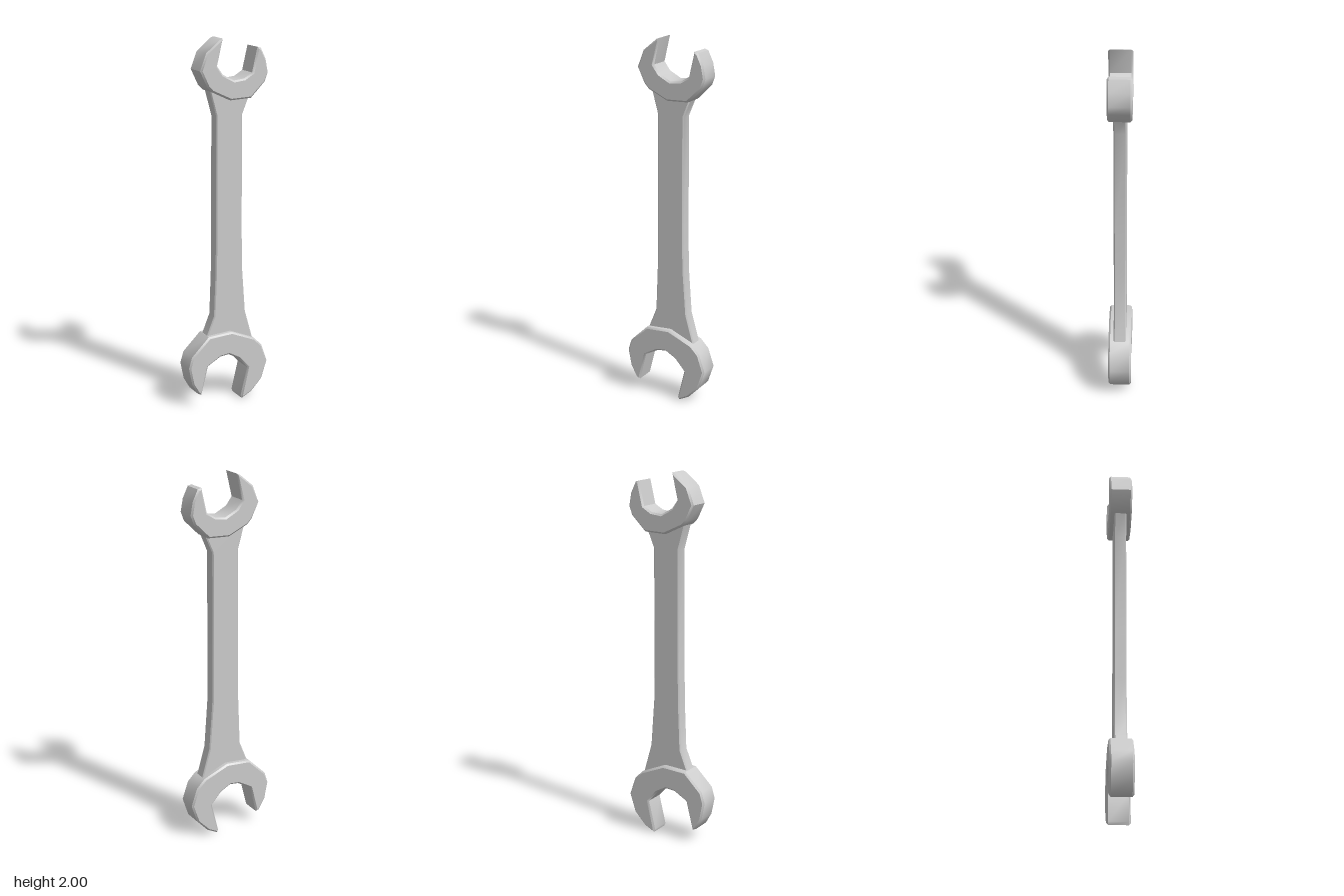
import * as THREE from 'three';
import { toCreasedNormals } from 'three/addons/utils/BufferGeometryUtils.js';

const material = new THREE.MeshStandardMaterial({ color: 0xcccccc });

// Chamfered plate: the outline is the widest contour, centred on z = 0
function plate(name, outline, halfDepth, bevel) {
  const shape = new THREE.Shape(outline.map(([x, y]) => new THREE.Vector2(x, y)));
  const depth = 2 * (halfDepth - bevel);
  const geometry = new THREE.ExtrudeGeometry(shape, {
    depth, bevelEnabled: true, bevelSegments: 1,
    bevelSize: bevel, bevelThickness: bevel, bevelOffset: -bevel,
  });
  geometry.translate(0, 0, -depth / 2);
  const mesh = new THREE.Mesh(toCreasedNormals(geometry, 0.7), material);
  mesh.name = name;
  return mesh;
}

export function createModel() {
  const group = new THREE.Group();
  group.name = 'openEndWrench';

  // Small jaw, opening upward
  const upperJaw = [
    [-0.035, 2.0], [-0.053, 1.993], [-0.13, 1.93], [-0.165, 1.84], [-0.125, 1.757],
    [-0.1, 1.73], [0.01, 1.678], [0.13, 1.682], [0.212, 1.762], [0.23, 1.81],
    [0.217, 1.88], [0.188, 1.94], [0.168, 1.946],
    [0.137, 1.815], [0.09, 1.787], [0.03, 1.78], [-0.035, 1.815], [-0.068, 1.86],
  ];

  // Large jaw, opening downward
  const lowerJaw = [
    [0.077, 0.017], [0.083, 0], [0.143, 0.03], [0.206, 0.095], [0.24, 0.196],
    [0.206, 0.295], [0.16, 0.342], [0.02, 0.402], [-0.12, 0.394], [-0.222, 0.295],
    [-0.241, 0.233], [-0.222, 0.138], [-0.187, 0.077], [-0.167, 0.069],
    [-0.127, 0.227], [-0.05, 0.27], [0, 0.275], [0.058, 0.243], [0.116, 0.178],
  ];

  // Thin shank flaring into both jaws, its ends buried in them
  const shank = [
    [-0.1, 1.74], [-0.06, 1.595], [-0.062, 1.0], [-0.065, 0.757], [-0.075, 0.5],
    [-0.122, 0.385], [-0.08, 0.33], [0.1, 0.31], [0.162, 0.335],
    [0.115, 0.5], [0.096, 0.757], [0.093, 1.0], [0.093, 1.595], [0.133, 1.69],
    [0.1, 1.74],
  ];

  group.add(
    plate('upperJaw', upperJaw, 0.063, 0.009),
    plate('lowerJaw', lowerJaw, 0.063, 0.009),
    plate('shank', shank, 0.034, 0.006),
  );
  return group;
}
